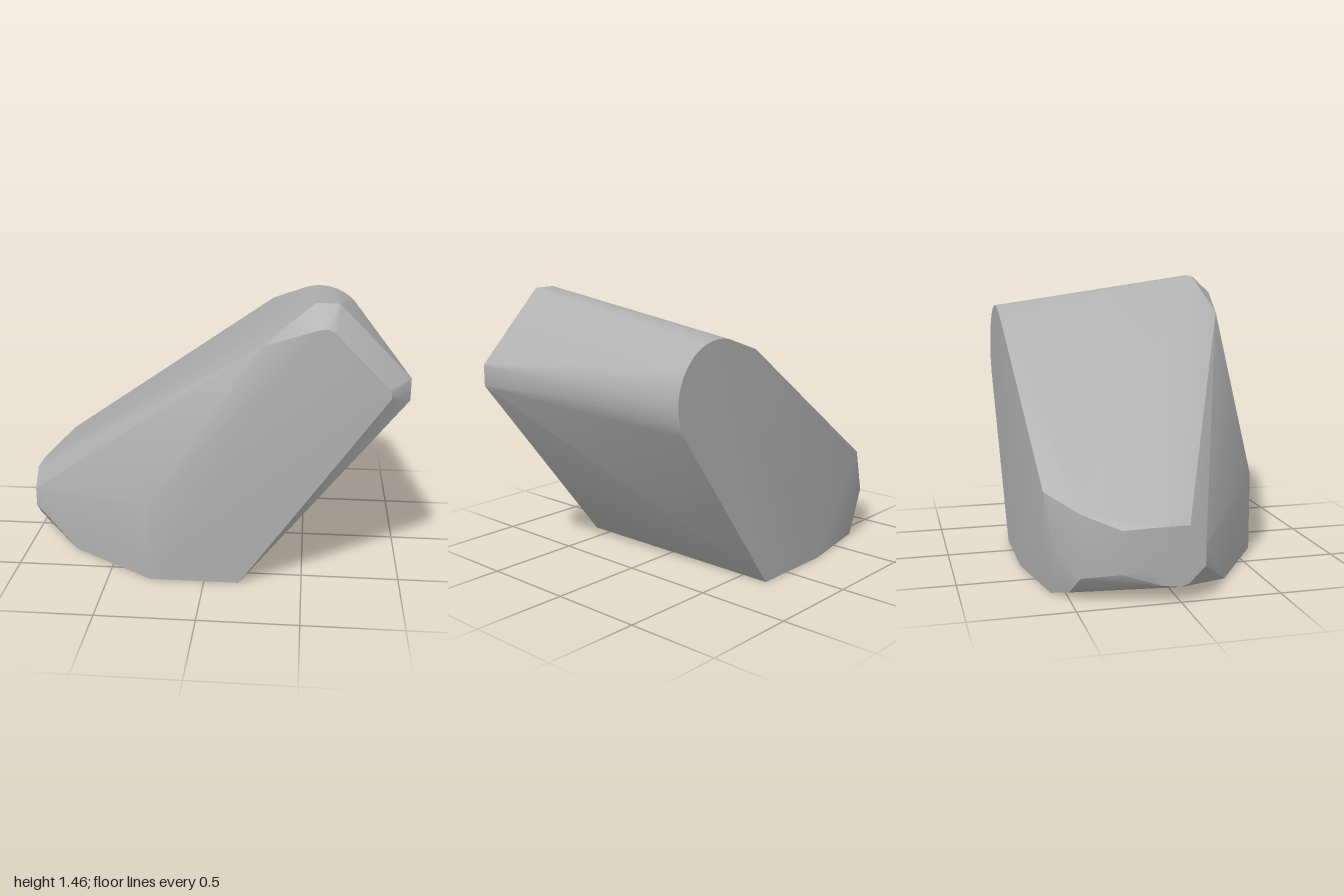
import * as THREE from 'three';
import { ConvexGeometry } from 'three/addons/geometries/ConvexGeometry.js';
import { toCreasedNormals } from 'three/addons/utils/BufferGeometryUtils.js';

export function createModel() {
  const group = new THREE.Group();
  group.name = 'wedgeBlock';
  const grey = new THREE.MeshStandardMaterial({ color: 0xb0b0b0 });
  grey.name = 'grey';

  const points = [];
  const section = (z, outline) => outline.forEach(([x, y]) => points.push(new THREE.Vector3(x, y, z)));

  // Rear face: straight sides with a rounded upper corner
  const rear = [[0.18, 0], [-0.28, 0], [0.29, 1.22]];
  const steps = 16;
  for (let i = 0; i <= steps; i++) {
    const a = THREE.MathUtils.degToRad(-30 + (145 * i) / steps);
    rear.push([0.56 + 0.28 * Math.cos(a), 1.02 + 0.28 * Math.sin(a)]);
  }
  section(-0.65, rear);

  // Front face and the wider outline behind its bevel
  section(0.65, [[0.56, 1.36], [0.6, 1.36], [0.63, 1.34], [0.89, 1.08], [0.9, 1.06], [0.9, 1.03]]);
  section(0.53, [[0.53, 1.46], [0.645, 1.46], [1, 1.1], [1, 0.99]]);
  section(0.612, [[0.18, 0], [-0.28, 0], [-0.28, 0.42]]);
  section(0.6, [[0.28, 1.26]]);

  // Low nose, rounded off towards the rear
  section(0.31, [[-0.73, 0]]);
  section(0.12, [[-1, 0.17], [-1, 0.27]]);
  section(0.04, [[-1, 0.09], [-1, 0.37]]);
  section(0, [[-1, 0.075]]);
  section(-0.1, [[-1, 0.09], [-1, 0.37]]);
  section(-0.17, [[-1, 0.17], [-1, 0.3]]);
  section(-0.28, [[-0.98, 0.15], [-0.98, 0.36]]);
  section(-0.46, [[-0.9, 0.12], [-0.9, 0.43]]);
  section(-0.5, [[-0.82, 0.03]]);
  section(-0.57, [[-0.72, 0], [-0.82, 0.25]]);
  section(-0.6, [[-0.72, 0.5], [-0.72, 0.2]]);

  const body = new THREE.Mesh(toCreasedNormals(new ConvexGeometry(points), 0.5), grey);
  body.name = 'body';
  group.add(body);
  return group;
}
